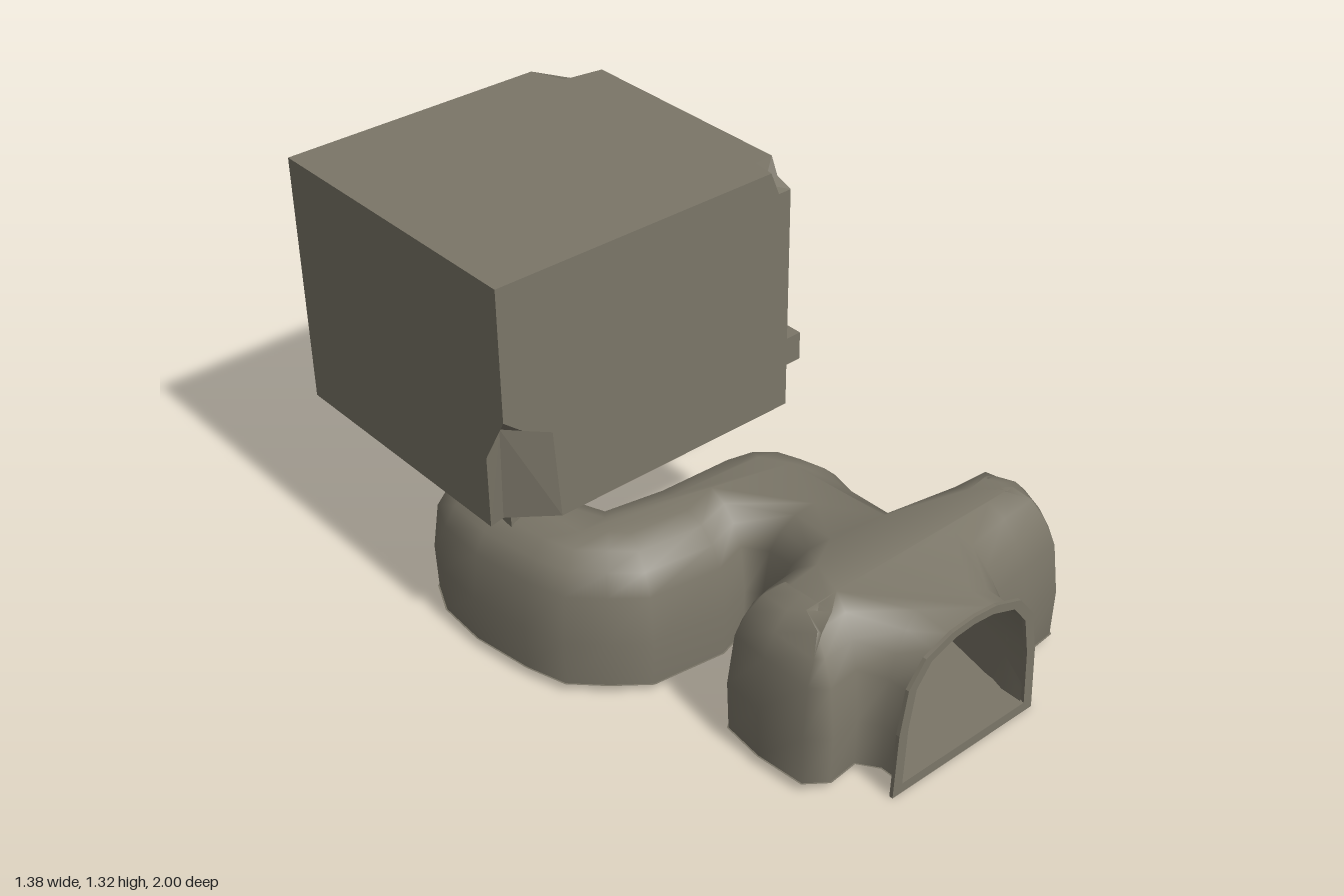
import * as THREE from 'three';

const stone = new THREE.MeshStandardMaterial({ color: 0x7b7668, side: THREE.DoubleSide });
stone.name = 'stone';

const V = (x, y, z) => new THREE.Vector3(x, y, z);

// Triangulate a planar polygon (with optional hole); triangles follow the wanted normal.
function planar(points, hole, normal) {
  const a = normal.toArray().map(Math.abs);
  const flat = (p) => a[0] >= a[1] && a[0] >= a[2] ? new THREE.Vector2(p.y, p.z)
    : a[1] >= a[2] ? new THREE.Vector2(p.z, p.x) : new THREE.Vector2(p.x, p.y);
  const all = [...points, ...hole];
  const tris = THREE.ShapeUtils.triangulateShape(points.map(flat), hole.length ? [hole.map(flat)] : []);
  return tris.map(([i, j, k]) => {
    const n = all[j].clone().sub(all[i]).cross(all[k].clone().sub(all[i]));
    return n.dot(normal) < 0 ? [i, k, j] : [i, j, k];
  });
}

// Flat-shaded geometry from a list of { points, normal, hole }.
function facets(list) {
  const pos = [];
  for (const { points, normal, hole = [] } of list) {
    const all = [...points, ...hole];
    for (const t of planar(points, hole, normal)) for (const i of t) pos.push(...all[i].toArray());
  }
  return finish(pos);
}

function finish(pos, index) {
  const g = new THREE.BufferGeometry();
  g.setAttribute('position', new THREE.Float32BufferAttribute(pos, 3));
  if (index) g.setIndex(index);
  g.computeVertexNormals();
  return g;
}

// Small broken facet whose front faces away from the house centre.
function chipFace(...points) {
  const n = points[1].clone().sub(points[0]).cross(points[2].clone().sub(points[0]));
  const out = points[0].clone().sub(V(-0.17, 0.92, -0.5));
  return { points, normal: n.dot(out) < 0 ? n.negate() : n };
}
const chipFan = (apex, loop) => loop.map((p, i) => chipFace(p, loop[(i + 1) % loop.length], apex));

function houseGeometry() {
  const X0 = -0.69, X1 = 0.34, Y0 = 0.52, Y1 = 1.32, Z0 = -1, Z1 = -0.03;
  const front = (l) => l.map(([x, y]) => V(x, y, Z1));
  const side = (x, l) => l.map(([z, y]) => V(x, y, z));
  const door = [[-0.2, 0.79], [-0.39, 0.79], [-0.39, 1.12], [-0.2, 1.12]];
  const outer = side(X1, door), inner = side(X1 - 0.11, door);
  const jambs = [V(0, 1, 0), V(0, 0, 1), V(0, -1, 0), V(0, 0, -1)];

  // Lower left bite out of the front wall
  const b = [V(-0.51, Y0, Z1), V(-0.53, 0.81, Z1), V(-0.63, 0.86, Z1), V(X0, 0.91, Z1),
    V(X0, 0.75, -0.12), V(X0, Y0, -0.12)];
  const low = V(-0.64, Y0, -0.13), high = V(-0.655, 0.84, -0.1);

  return facets([
    // Walls and roof
    { points: front([[-0.51, Y0], [X1, Y0], [X1, 1.245], [0.295, 1.245], [0.265, Y1], [X0, Y1],
      [X0, 0.91], [-0.63, 0.86], [-0.53, 0.81]]), normal: V(0, 0, 1) },
    { points: side(X1, [[Z1, Y0], [Z0, Y0], [Z0, 1.14], [-0.95, 1.25], [-0.87, Y1], [-0.11, Y1],
      [-0.085, 1.265], [Z1, 1.245]]), normal: V(1, 0, 0), hole: outer },
    { points: side(X0, [[-0.12, Y0], [-0.12, 0.75], [Z1, 0.91], [Z1, Y1], [Z0, Y1], [Z0, Y0]]), normal: V(-1, 0, 0) },
    { points: [V(X1, Y0, Z0), V(X0, Y0, Z0), V(X0, Y1, Z0), V(0.17, Y1, Z0), V(X1, 1.14, Z0)], normal: V(0, 0, -1) },
    { points: [[X0, Z1], [0.265, Z1], [0.275, -0.105], [X1, -0.11], [X1, -0.87], [0.21, -0.89],
      [0.17, Z0], [X0, Z0]].map(([x, z]) => V(x, Y1, z)), normal: V(0, 1, 0) },
    // Raised floor seen through the open underside
    { points: [V(X0, 0.79, Z1 - 0.1), V(-0.5, 0.79, Z1), V(X1, 0.79, Z1), V(X1, 0.79, Z0), V(X0, 0.79, Z0)], normal: V(0, -1, 0) },
    // Door recess
    { points: inner, normal: V(1, 0, 0) },
    ...jambs.map((normal, i) => {
      const j = (i + 1) % 4;
      return { points: [outer[i], outer[j], inner[j], inner[i]], normal };
    }),
    // Chipped upper corners
    ...chipFan(V(0.29, 1.255, -0.085), [V(0.265, Y1, Z1), V(0.295, 1.245, Z1), V(X1, 1.245, Z1),
      V(X1, 1.265, -0.085), V(X1, Y1, -0.11), V(0.275, Y1, -0.105)]),
    ...chipFan(V(0.3, 1.27, -0.965), [V(X1, 1.14, Z0), V(X1, 1.25, -0.95), V(X1, Y1, -0.87),
      V(0.21, Y1, -0.89), V(0.17, Y1, Z0)]),
    // Bite surfaces
    chipFace(b[0], b[1], high), chipFace(b[0], high, low), chipFace(b[1], b[2], high),
    chipFace(b[2], b[3], high), chipFace(b[3], b[4], high), chipFace(b[4], b[5], high), chipFace(b[5], low, high),
  ]);
}

// Plan of the winding tunnel (x, z), from the left of the mouth round the back to its right.
const plan = [
  [-0.18, 0.99], [-0.18, 0.92], [-0.22, 0.86], [-0.32, 0.87], [-0.385, 0.82], [-0.4, 0.66], [-0.385, 0.52],
  [-0.3, 0.46], [-0.17, 0.44], [-0.12, 0.41], [-0.04, 0.29], [-0.07, 0.245], [-0.18, 0.28], [-0.42, 0.25],
  [-0.52, 0.17], [-0.61, 0.08], [-0.65, -0.05], [-0.68, -0.25], [-0.67, -0.42], [-0.62, -0.53], [-0.54, -0.58],
  [-0.45, -0.55], [-0.37, -0.43], [-0.31, -0.25], [-0.28, -0.13], [-0.15, -0.12], [0.1, -0.11], [0.22, -0.08],
  [0.31, 0], [0.35, 0.1], [0.375, 0.21], [0.35, 0.32], [0.31, 0.46], [0.45, 0.47], [0.6, 0.485], [0.65, 0.55],
  [0.69, 0.67], [0.65, 0.78], [0.6, 0.85], [0.45, 0.865], [0.32, 0.88], [0.31, 0.92], [0.31, 0.99],
];
// Wall profile: [height, inset]
const profile = [[0.03, 0.005], [0.2, 0], [0.37, 0.02], [0.44, 0.055], [0.49, 0.1], [0.515, 0.16]];

function tunnelGeometry() {
  const n = plan.length, pos = [], index = [], top = [];
  profile.forEach(([y, inset], k) => plan.forEach(([x, z], i) => {
    const p = plan[Math.max(i - 1, 0)], q = plan[Math.min(i + 1, n - 1)];
    const tx = q[0] - p[0], tz = q[1] - p[1], l = Math.hypot(tx, tz);
    const px = x - tz / l * inset, pz = z + tx / l * inset;
    const ridge = THREE.MathUtils.smoothstep(0.27 - Math.abs(pz - 0.67), 0, 0.2);
    const v = V(px, 0.03 + (y - 0.03) * (0.89 + 0.11 * ridge), pz);
    pos.push(...v.toArray());
    if (k === profile.length - 1) top.push(v);
    if (k && i) {
      const d = k * n + i, c = d - 1, b = d - n, a = b - 1;
      index.push(a, c, b, b, c, d);
    }
  }));
  const base = (profile.length - 1) * n;
  for (const t of planar(top, [], V(0, 1, 0))) index.push(...t.map((i) => i + base));
  return finish(pos, index);
}

// Arch outline in the front plane, from lower left over the crown to lower right.
const arch = (cx, w, y0, h) => [[-1, 0], [-0.96, 0.45], [-0.87, 0.75], [-0.66, 0.91], [-0.3, 0.985], [0, 1],
  [0.3, 0.985], [0.66, 0.91], [0.87, 0.75], [0.96, 0.45], [1, 0]].map(([x, y]) => new THREE.Vector2(cx + x * w, y0 + y * h));

function passageGeometry() {
  const rings = [[0.065, 0.245, 0.42, 0.995], [0.1, 0.22, 0.4, 0.85], [0.17, 0.21, 0.38, 0.55]];
  const pos = [], index = [];
  rings.forEach(([cx, w, h, z], k) => arch(cx, w, 0.035, h).forEach((p, i) => {
    pos.push(p.x, p.y, z);
    if (k && i) {
      const d = k * 11 + i, c = d - 1, b = d - 11, a = b - 1;
      index.push(a, b, c, b, d, c);
    }
  }));
  return finish(pos, index);
}

export function createModel() {
  const model = new THREE.Group();
  const add = (name, geometry, x = 0, y = 0, z = 0) => {
    const mesh = new THREE.Mesh(geometry, stone);
    mesh.name = name;
    mesh.position.set(x, y, z);
    model.add(mesh);
  };
  const block = (name, x0, x1, y0, y1, z0, z1) => add(name, new THREE.BoxGeometry(x1 - x0, y1 - y0, z1 - z0),
    (x0 + x1) / 2, (y0 + y1) / 2, (z0 + z1) / 2);

  add('house', houseGeometry());

  // Entrance stairs
  [0.74, 0.68, 0.615].forEach((top, i) => block('step' + (i + 1), 0.34 + i * 0.068, 0.408 + i * 0.068, 0.52, top, -0.43, -0.185));

  // Shaft joining house and tunnel
  block('shaft', -0.58, -0.38, 0.4, 0.79, -0.39, -0.18);

  // Tunnel shell, underside and inner passage
  add('tunnel', tunnelGeometry());
  add('tunnelBase', facets([{ points: plan.map(([x, z]) => V(x, 0.03, z)), normal: V(0, -1, 0) }]));
  add('passage', passageGeometry());
  add('passageFloor', facets([{ points: [V(-0.18, 0.036, 0.995), V(0.31, 0.036, 0.995), V(0.38, 0.036, 0.55), V(-0.04, 0.036, 0.55)], normal: V(0, 1, 0) }]));
  add('passageEnd', new THREE.ShapeGeometry(new THREE.Shape(arch(0.17, 0.21, 0.035, 0.38))), 0, 0, 0.55);

  // Mouth frame
  const frame = new THREE.Shape(arch(0.065, 0.28, 0, 0.48));
  frame.holes.push(new THREE.Path(arch(0.065, 0.245, 0.033, 0.422)));
  add('mouthFrame', new THREE.ExtrudeGeometry(frame, { depth: 0.012, bevelEnabled: false }), 0, 0, 0.988);

  return model;
}
